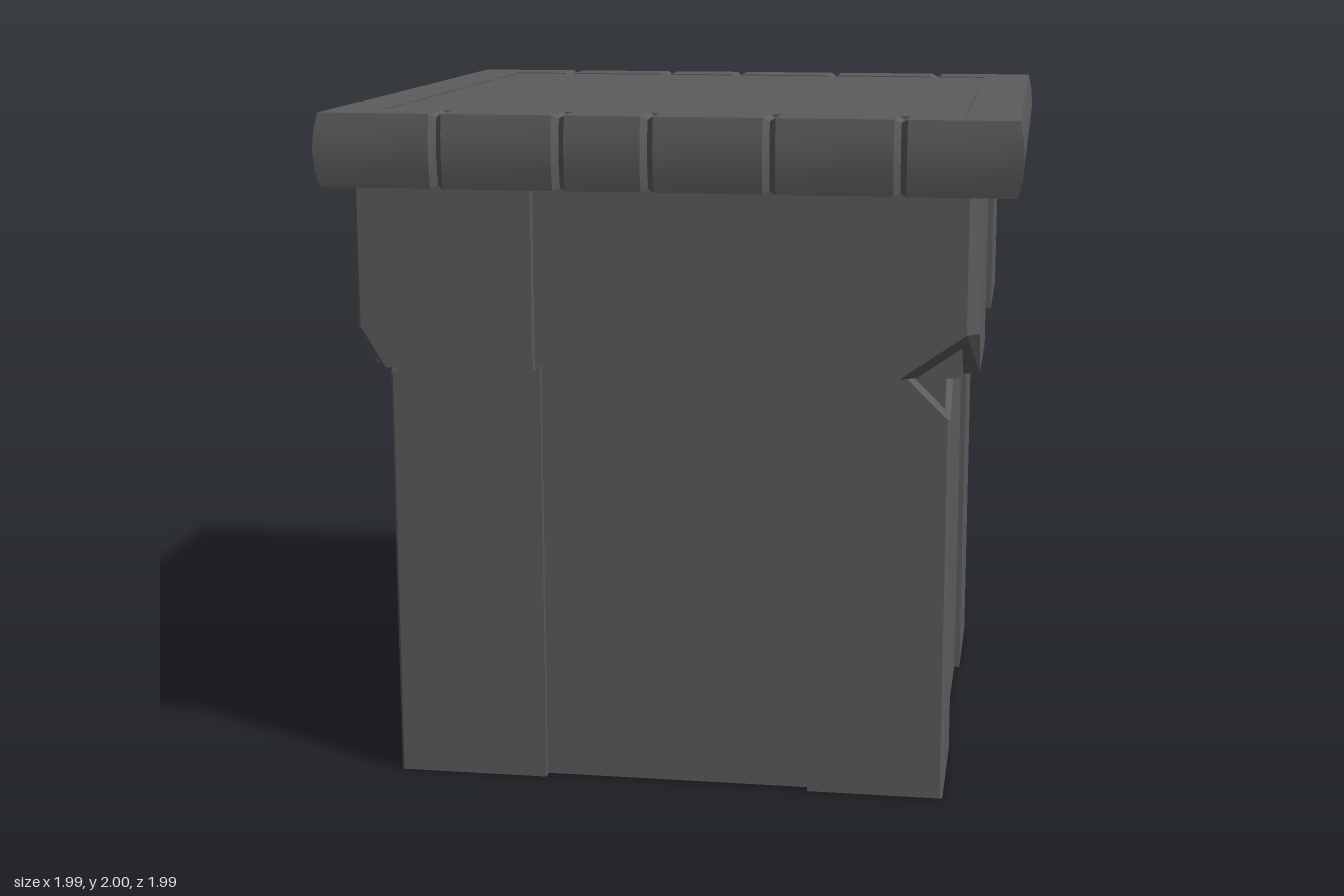
import * as THREE from 'three';
import { toCreasedNormals } from 'three/addons/utils/BufferGeometryUtils.js';
import { ConvexGeometry } from 'three/addons/geometries/ConvexGeometry.js';

const stone = new THREE.MeshStandardMaterial({ color: 0x5c5c5c });
stone.name = 'dark stone';

function add(group, name, geometry) {
  const mesh = new THREE.Mesh(geometry, stone);
  mesh.name = name;
  group.add(mesh);
}

// Box given by its limits on each axis
function block(x0, x1, y0, y1, z0, z1) {
  return new THREE.BoxGeometry(x1 - x0, y1 - y0, z1 - z0)
    .translate((x0 + x1) / 2, (y0 + y1) / 2, (z0 + z1) / 2);
}

// Corner stone: outer edge at (x, z), extending w and d inwards.
// low and high are chips [x, y, z] cut off the outer bottom and top corners.
function cornerStone({ x, z, w, d, y0, y1, bevel = 0.008, low, high }) {
  const sx = Math.sign(x), sz = Math.sign(z), pts = [];
  const put = (inX, y, inZ) => pts.push(new THREE.Vector3(x - sx * inX, y, z - sz * inZ));
  for (const y of [y0, y1]) {
    put(w, y, 0);
    put(w, y, d);
    put(0, y, d);
  }
  for (const [y, up, chip] of [[y0, 1, low], [y1, -1, high]]) {
    const [cx, cy, cz] = chip || [bevel, 0, bevel];
    put(cx, y, 0);
    put(0, y, cz);
    if (chip) {
      put(bevel, y + up * cy, 0);
      put(0, y + up * cy, bevel);
    }
  }
  return new ConvexGeometry(pts);
}

// Square rim swept around the slab, pinched in at each joint between its stones
function rimGeometry(joints) {
  const section = [[0.83, 1.79], [0.98, 1.79], [0.99, 1.84], [0.994, 1.895], [0.99, 1.95], [0.98, 2], [0.83, 2]];
  const pinched = section.map(([r, y]) => [
    r < 0.9 ? r + 0.012 : r - 0.02,
    y + (y < 1.8 ? 0.008 : y > 1.98 ? -0.01 : 0),
  ]);
  const n = section.length, pos = [], index = [];
  let rings = 0;
  joints.forEach((list, side) => {
    const ring = (profile, tOf) => {
      for (const [r, y] of profile) {
        let a = r, b = tOf(r);
        for (let k = 0; k < side; k++) [a, b] = [-b, a];
        pos.push(a, y, b);
      }
      rings++;
    };
    ring(section, r => -r);
    for (const t of list) {
      ring(section, () => t - 0.018);
      ring(pinched, () => t);
      ring(section, () => t + 0.018);
    }
  });
  for (let i = 0; i < rings; i++) {
    for (let j = 0; j < n; j++) {
      const i2 = (i + 1) % rings, j2 = (j + 1) % n;
      const a = i * n + j, b = i * n + j2, c = i2 * n + j, d = i2 * n + j2;
      index.push(a, b, c, b, d, c);
    }
  }
  const g = new THREE.BufferGeometry();
  g.setAttribute('position', new THREE.Float32BufferAttribute(pos, 3));
  g.setIndex(index);
  return toCreasedNormals(g, 0.4);
}

export function createModel() {
  const model = new THREE.Group();
  model.name = 'stone pedestal';

  // Shaft with four slightly raised corner pilasters
  const shaft = new THREE.Group();
  shaft.name = 'shaft';
  add(shaft, 'shaftCore', block(-0.818, 0.788, 0.005, 1.28, -0.813, 0.813));
  const pilasters = [
    { x: 0.805, z: 0.832, w: 0.4, d: 0.42, high: [0.15, 0.14, 0.15] },
    { x: -0.835, z: 0.832, w: 0.45, d: 0.42, high: [0.07, 0.05, 0.07] },
    { x: 0.805, z: -0.832, w: 0.39, d: 0.45 },
    { x: -0.835, z: -0.832, w: 0.4, d: 0.42, high: [0.07, 0.06, 0.07] },
  ];
  for (const p of pilasters) add(shaft, 'pilaster', cornerStone({ ...p, y0: 0, y1: 1.28 }));
  model.add(shaft);

  // Collar: recessed middle stones between four chipped corner stones
  const collar = new THREE.Group();
  collar.name = 'collar';
  add(collar, 'collarMiddle', block(-0.86, 0.835, 1.27, 1.79, -0.85, 0.875));
  const corners = [
    { x: 0.882, z: 0.905, w: 0.58, d: 0.585, y0: 1.268, bevel: 0.035, low: [0.22, 0.13, 0.14] },
    { x: -0.905, z: 0.905, w: 0.515, d: 0.55, y0: 1.26, low: [0.08, 0.12, 0.12] },
    { x: 0.882, z: -0.908, w: 0.55, d: 0.568, y0: 1.268, high: [0.1, 0.15, 0.1] },
    { x: -0.905, z: -0.908, w: 0.495, d: 0.515, y0: 1.265, low: [0.13, 0.09, 0.13] },
  ];
  for (const c of corners) add(collar, 'collarCorner', cornerStone({ ...c, y1: 1.792 }));
  model.add(collar);

  // Capstone: flat panel framed by the jointed rim
  const cap = new THREE.Group();
  cap.name = 'capstone';
  add(cap, 'capPanel', block(-0.826, 0.826, 1.79, 1.997, -0.826, 0.826));
  const alongX = [-0.64, -0.29, -0.04, 0.3, 0.66];
  add(cap, 'capRim', rimGeometry([
    [-0.51, -0.18, 0.16, 0.51],
    alongX.map(x => -x).reverse(),
    [-0.57, -0.23, 0.14, 0.51],
    alongX,
  ]));
  model.add(cap);

  return model;
}
